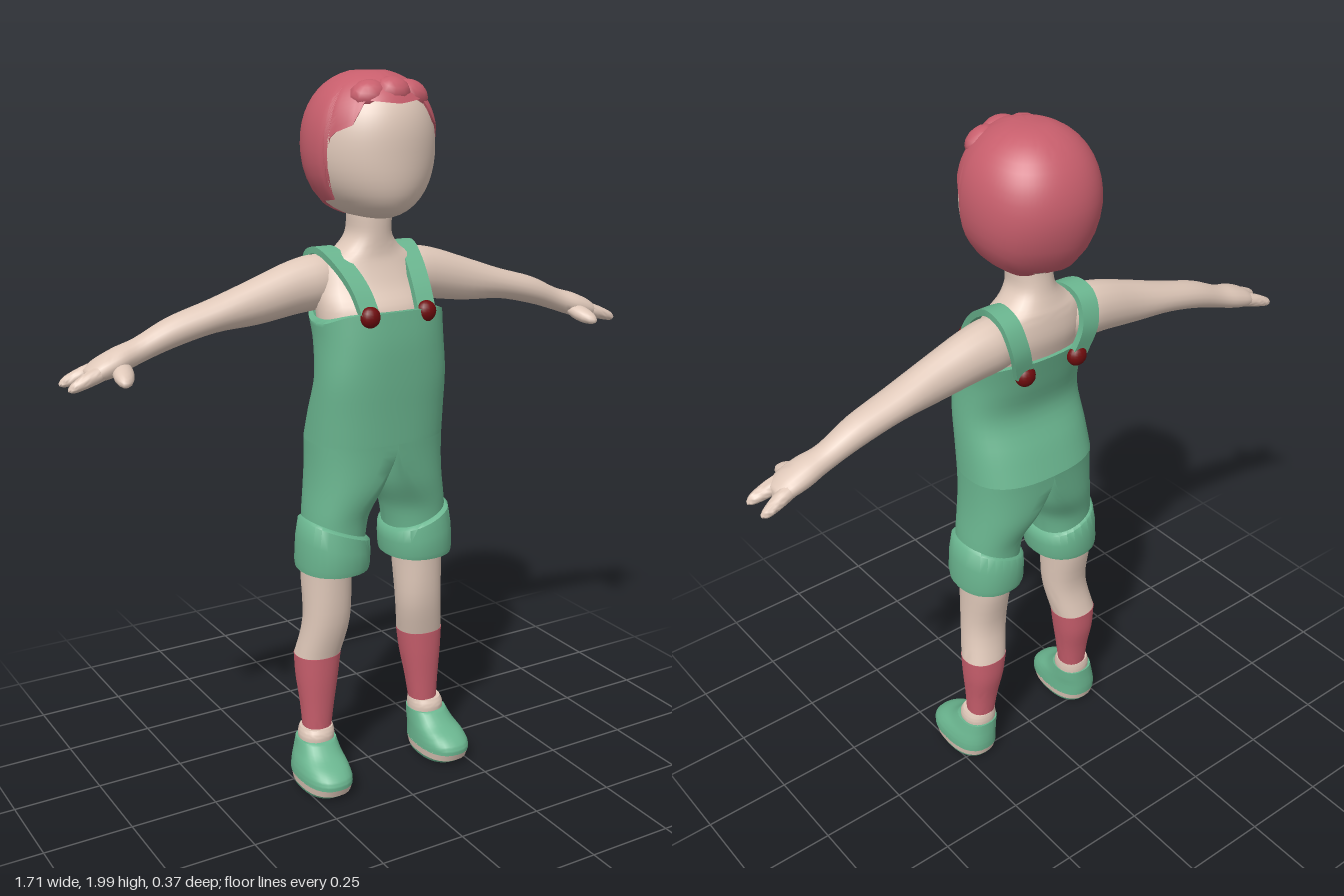
import * as THREE from 'three';
import { toCreasedNormals } from 'three/addons/utils/BufferGeometryUtils.js';

const V = (x, y, z) => new THREE.Vector3(x, y, z);
const spow = (v, e) => Math.sign(v) * Math.abs(v) ** e;

// Skin over a list of closed loops, capped at both ends; side -1 mirrors in x
function loft(rings, side = 1, crease = 0.9) {
  const n = rings[0].length, pos = [], idx = [];
  const put = p => pos.push(p.x * side, p.y, p.z);
  const tri = (a, b, c) => (side > 0 ? idx.push(a, b, c) : idx.push(a, c, b));
  rings.forEach(r => r.forEach(put));
  for (let i = 0; i < rings.length - 1; i++) {
    for (let j = 0; j < n; j++) {
      const a = i * n + j, b = i * n + (j + 1) % n;
      tri(a, b, b + n);
      tri(a, b + n, a + n);
    }
  }
  [0, rings.length - 1].forEach((k, end) => {
    const c = V(0, 0, 0);
    rings[k].forEach(p => c.addScaledVector(p, 1 / n));
    const ci = pos.length / 3;
    put(c);
    for (let j = 0; j < n; j++) {
      const a = k * n + j, b = k * n + (j + 1) % n;
      if (end) tri(a, b, ci); else tri(b, a, ci);
    }
  });
  const g = new THREE.BufferGeometry();
  g.setAttribute('position', new THREE.Float32BufferAttribute(pos, 3));
  g.setIndex(idx);
  return toCreasedNormals(g, crease);
}

// Fill in smooth rows between the given ones
function smooth(rows, steps = 4) {
  const out = [];
  for (let i = 0; i < rows.length - 1; i++) {
    const [p, q, r, s] = [-1, 0, 1, 2].map(d => rows[Math.min(Math.max(i + d, 0), rows.length - 1)]);
    for (let k = 0; k < steps; k++) {
      const t = k / steps;
      out.push(q.map((v, c) => v + 0.5 * t * (r[c] - p[c] + t * (2 * p[c] - 5 * v + 4 * r[c] - s[c] + t * (3 * (v - r[c]) + s[c] - p[c])))));
    }
  }
  out.push(rows[rows.length - 1]);
  return out;
}

// Upright loop: height, centre x, half width, front z, back z
function ring([y, cx, hx, zf, zb], e = 2.2, n = 28) {
  return Array.from({ length: n }, (_, j) => {
    const a = j / n * Math.PI * 2;
    return V(cx + hx * spow(Math.sin(a), 2 / e), y, (zf + zb) / 2 + (zf - zb) / 2 * spow(Math.cos(a), 2 / e));
  });
}

// Sideways loop: x, y, z, half height, half depth
function sideRing([x, y, z, ry, rz], n = 18) {
  return Array.from({ length: n }, (_, j) => {
    const a = j / n * Math.PI * 2;
    return V(x, y + ry * Math.cos(a), z + rz * Math.sin(a));
  });
}

// Point on the head at height y and angle a from the front
function headPoint(y, a, grow) {
  const u = Math.min(1, Math.abs(y - 1.8) / (0.186 + grow)), low = y < 1.8;
  const r = e => Math.max(0, 1 - u ** e) ** (1 / e);
  const front = (0.181 + grow * 0.6) * r(low ? 3.6 : 2.5);
  const back = (0.178 + grow) * r(low ? 2.6 : 2.1) * (low ? 1 - 0.13 * u : 1);
  const c = Math.cos(a);
  return V((0.174 + grow * 0.8) * r(low ? 2.1 : 2.2) * Math.sin(a), y, c * (c > 0 ? front : back));
}

// Lower edge of the hair: angle in degrees, height
const hairEdge = [[0, 1.915], [36, 1.925], [44, 1.865], [60, 1.845], [65, 1.83], [70, 1.72], [75, 1.67], [108, 1.655], [128, 1.62], [180, 1.61]];
function hairLine(a) {
  const d = Math.abs(THREE.MathUtils.radToDeg(a > Math.PI ? a - 2 * Math.PI : a));
  const i = Math.max(1, hairEdge.findIndex(k => k[0] >= d - 1e-6));
  const [p, q] = [hairEdge[i - 1], hairEdge[i]];
  return p[1] + (q[1] - p[1]) * (d - p[0]) / (q[0] - p[0]);
}

export function createModel() {
  const model = new THREE.Group();
  const mat = (name, color) => Object.assign(new THREE.MeshStandardMaterial({ color }), { name });
  const skin = mat('skin', 0xdfc8b9), green = mat('green cloth', 0x6ab58f);
  const red = mat('red hair and socks', 0xc75e6c), dark = mat('dark red buttons', 0x700c0e);
  const add = (name, geo, material) => {
    const m = new THREE.Mesh(geo, material);
    m.name = name;
    model.add(m);
    return m;
  };
  // Rows run from the bottom up
  const column = (name, rows, material, side = 1, e = 2.2) => add(name, loft(smooth(rows).map(r => ring(r, e)), side), material);

  // Head
  const N = 72, angles = Array.from({ length: N }, (_, j) => j / N * Math.PI * 2);
  const headRings = [];
  for (let i = 1; i < 24; i++) {
    const y = 1.8 - 0.186 * Math.cos(i / 24 * Math.PI);
    headRings.push(angles.map(a => headPoint(y, a, 0)));
  }
  add('head', loft(headRings), skin);

  // Hair shell, slightly wavy, with its rim turned in to the scalp
  const hairRings = [angles.map(a => headPoint(hairLine(a) + 0.004, a, -0.012))];
  for (let i = 16; i >= 1; i--) {
    const t = i / 16;
    hairRings.push(angles.map(a => {
      const y = 1.994 - (1.994 - hairLine(a)) * t ** 1.7;
      return headPoint(y, a, 0.01 - 0.004 * t + 0.002 * Math.sin(5 * a + 4 * t) * t);
    }));
  }
  add('hair', loft(hairRings), red);
  [[0.005, 1.945, 0.112], [-0.06, 1.937, 0.1], [0.07, 1.935, 0.098]].forEach(([x, y, z]) => {
    const lock = add('foreheadLock', new THREE.SphereGeometry(1, 10, 8), red);
    lock.scale.set(0.05, 0.034, 0.042);
    lock.position.set(x, y, z);
    lock.rotation.set(0.5, 0, -x * 5);
  });

  // Neck, shoulders and chest
  column('neckAndChest', [
    [1.30, 0, 0.165, 0.145, -0.055], [1.38, 0, 0.168, 0.14, -0.08], [1.44, 0, 0.162, 0.1, -0.095],
    [1.50, 0, 0.14, 0.072, -0.09], [1.532, 0, 0.092, 0.066, -0.08], [1.57, 0, 0.061, 0.066, -0.068],
    [1.62, 0, 0.058, 0.068, -0.06], [1.68, 0, 0.058, 0.068, -0.06]], skin);

  // Overalls body, lower under the arms
  const hip = [1.02, 0, 0.196, 0.163, -0.113];
  const bodyRows = smooth([
    hip, [1.10, 0, 0.193, 0.168, -0.085], [1.20, 0, 0.188, 0.175, -0.048], [1.30, 0, 0.182, 0.178, -0.07],
    [1.385, 0, 0.184, 0.172, -0.092]]);
  bodyRows.push([1.385, 0, 0.172, 0.158, -0.08], [1.35, 0, 0.15, 0.13, -0.06]);
  const bodyRings = bodyRows.map(r => ring(r, 2.5, 40));
  bodyRings.forEach(r => r.forEach(p => {
    if (p.y > 1.3) p.y -= 0.035 * Math.min(1, Math.abs(p.x) / 0.184) ** 6 * (p.y - 1.3) / 0.085;
  }));
  add('overallsBody', loft(bodyRings), green);

  for (const side of [1, -1]) {
    // Trouser leg: half of the hips at the top, turning into a round tube
    const legRows = smooth([
      [0.7, 0.135, 0.085, 0.122, -0.068], [0.8, 0.125, 0.088, 0.127, -0.072],
      [0.9, 0.104, 0.1, 0.148, -0.1], [1.02, 0.098, 0.098, 0.16, -0.113]], 6);
    add('trouserLeg', loft(legRows.map(row => {
      const t = THREE.MathUtils.smoothstep(row[0], 0.8, 1.02);
      const half = ring([row[0], 0, hip[2], row[3] + 0.003, row[4]], 2.5, 40);
      return ring(row, 2.2, 40).map((p, j) => p.lerp(half[j].setX(Math.max(0, half[j].x)), t));
    }), side), green);

    // Turned-up cuff, higher on the outside
    const cuff = [
      [0.69, 0.14, 0.07, 0.11, -0.06], [0.655, 0.138, 0.085, 0.125, -0.068], [0.655, 0.136, 0.098, 0.138, -0.078],
      [0.67, 0.136, 0.1, 0.142, -0.082], [0.72, 0.133, 0.099, 0.143, -0.082], [0.765, 0.129, 0.094, 0.138, -0.077],
      [0.772, 0.13, 0.085, 0.125, -0.067]].map(r => ring(r));
    cuff.forEach((r, i) => i > 2 && r.forEach(p => { p.y += (p.x - 0.13) * 0.36 * (p.y - 0.655) / 0.11; }));
    add('trouserCuff', loft(cuff, side), green);

    // Leg, sock and ankle
    column('leg', [
      [0.39, 0.171, 0.066, 0.064, -0.056], [0.5, 0.153, 0.067, 0.088, -0.036],
      [0.64, 0.149, 0.068, 0.098, -0.06], [0.72, 0.147, 0.07, 0.105, -0.062]], skin, side);
    column('sock', [
      [0.165, 0.18, 0.041, 0.054, -0.028], [0.24, 0.177, 0.049, 0.058, -0.038],
      [0.32, 0.174, 0.06, 0.063, -0.054], [0.39, 0.171, 0.067, 0.065, -0.057]], red, side);
    column('ankle', [
      [0.125, 0.186, 0.05, 0.07, -0.032], [0.15, 0.186, 0.051, 0.071, -0.033],
      [0.168, 0.184, 0.047, 0.062, -0.03]], skin, side);

    // Shoe: upper, pale welt and sole
    column('shoeUpper', [
      [0.04, 0.198, 0.072, 0.186, -0.041], [0.06, 0.198, 0.071, 0.184, -0.042], [0.082, 0.196, 0.067, 0.158, -0.041],
      [0.105, 0.192, 0.061, 0.112, -0.039], [0.135, 0.188, 0.055, 0.078, -0.037]], green, side, 2.4);
    column('shoeWelt', [[0.018, 0.198, 0.068, 0.176, -0.034], [0.042, 0.198, 0.072, 0.186, -0.041]], skin, side, 2.4);
    column('shoeSole', [
      [0, 0.198, 0.056, 0.145, -0.015], [0.008, 0.198, 0.064, 0.162, -0.027], [0.019, 0.198, 0.068, 0.176, -0.034]], green, side, 2.4);

    // Arm, two finger groups and thumb
    const limb = (name, rows) => add(name, loft(smooth(rows).map(r => sideRing(r)), side), skin);
    limb('arm', [
      [0.07, 1.445, -0.025, 0.06, 0.05], [0.14, 1.447, -0.027, 0.074, 0.066], [0.22, 1.437, -0.027, 0.072, 0.062],
      [0.33, 1.411, -0.025, 0.061, 0.054], [0.45, 1.386, -0.028, 0.044, 0.051], [0.57, 1.354, -0.03, 0.04, 0.044],
      [0.66, 1.318, -0.031, 0.034, 0.037], [0.72, 1.298, -0.027, 0.035, 0.047], [0.77, 1.282, -0.026, 0.028, 0.046],
      [0.8, 1.271, -0.026, 0.015, 0.03]]);
    [[-0.047, -0.062], [-0.004, 0.006]].forEach(([z0, z1]) => limb('fingers', [
      [0.75, 1.285, z0, 0.022, 0.02], [0.8, 1.269, (z0 + z1) / 2, 0.02, 0.021],
      [0.84, 1.255, z1, 0.014, 0.014], [0.855, 1.25, z1, 0.005, 0.005]]));
    const thumb = add('thumb', new THREE.SphereGeometry(1, 14, 10), skin);
    thumb.scale.set(0.027, 0.021, 0.06);
    thumb.position.set(side * 0.718, 1.277, 0.023);
    thumb.rotation.set(0.3, side * 0.25, 0);

    // Shoulder strap: a flat band over the shoulder, from back to front
    const path = new THREE.CatmullRomCurve3([
      V(0.09, 1.36, -0.09), V(0.115, 1.45, -0.104), V(0.124, 1.515, -0.075), V(0.122, 1.53, -0.018),
      V(0.108, 1.497, 0.05), V(0.093, 1.44, 0.113), V(0.085, 1.37, 0.158)]);
    const strap = path.getPoints(28).map((p, i) => {
      const t = path.getTangent(i / 28);
      const out = V(0, t.z, -t.y).normalize().multiplyScalar(0.009);
      return [[-1, -1], [1, -1], [1, 1], [-1, 1]].map(([w, h]) => V(p.x + w * 0.027, p.y + h * out.y, p.z + h * out.z));
    });
    add('strap', loft(strap, side, 0.6), green);

    // Buttons at both strap ends
    [[1.375, 0.156], [1.36, -0.092]].forEach(([y, z]) => {
      const b = add('button', new THREE.SphereGeometry(0.029, 16, 12), dark);
      b.scale.z = 0.8;
      b.position.set(side * 0.086, y, z);
    });
  }
  return model;
}
